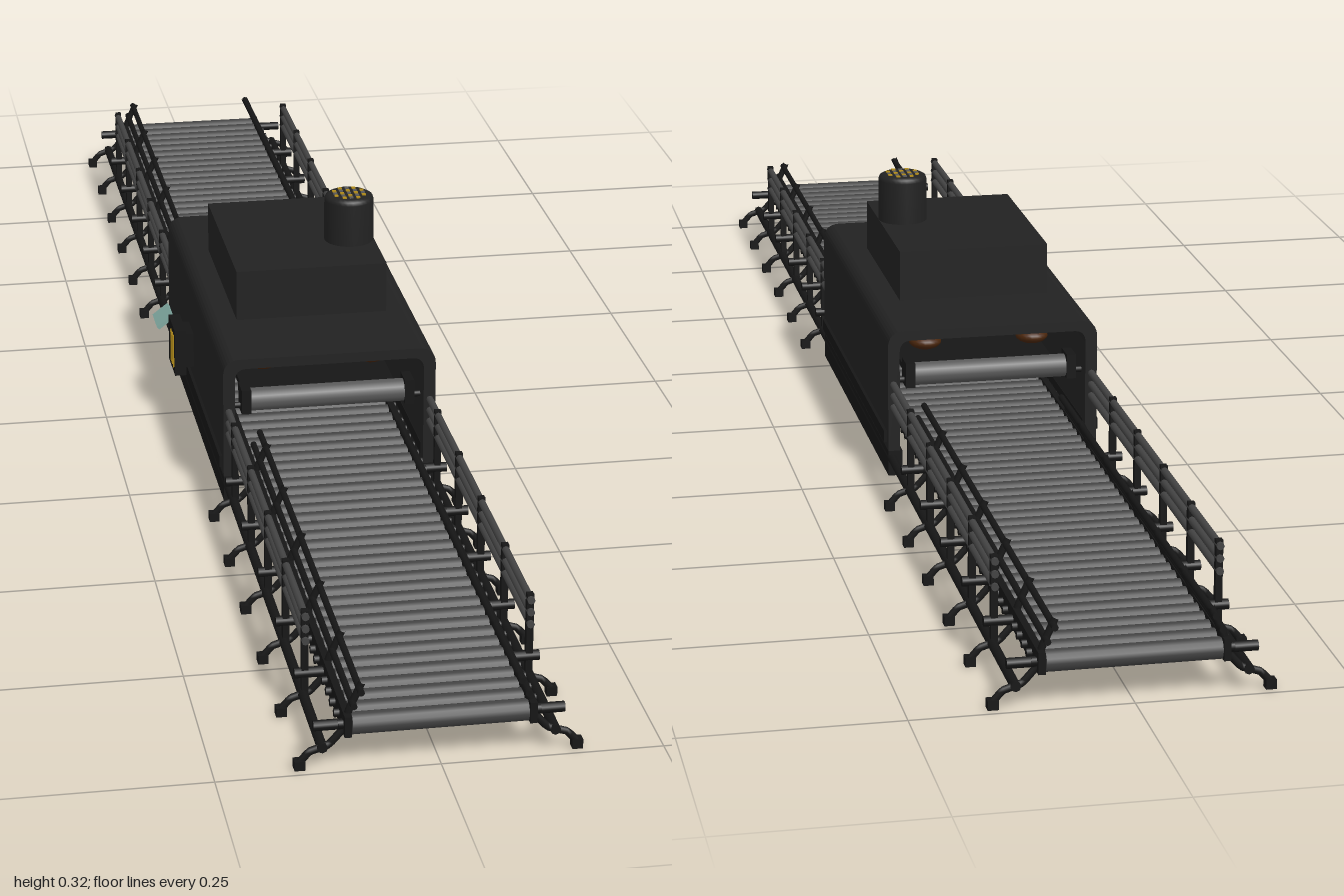
import * as THREE from 'three';

const mat = (name, color, side = THREE.FrontSide) => {
  const m = new THREE.MeshStandardMaterial({ color, side });
  m.name = name;
  return m;
};

export function createModel() {
  const model = new THREE.Group();
  model.name = 'conveyorTunnel';
  const shell = mat('housing charcoal', 0x222222);
  const black = mat('frame black', 0x161616);
  const rollerGrey = mat('roller grey', 0x444444);
  const steel = mat('steel grey', 0x5a5a5a);
  const brown = mat('pad brown', 0x4a260c);
  const yellow = mat('marking yellow', 0xb08a18);
  const teal = mat('plate teal', 0x7fa8a0);

  const group = (name) => {
    const g = new THREE.Group();
    g.name = name;
    model.add(g);
    return g;
  };
  const add = (parent, name, geo, material, x = 0, y = 0, z = 0) => {
    const m = new THREE.Mesh(geo, material);
    m.name = name;
    m.position.set(x, y, z);
    parent.add(m);
    return m;
  };
  // Box given by its limits
  const box = (parent, name, material, x0, x1, y0, y1, z0, z1) =>
    add(parent, name, new THREE.BoxGeometry(x1 - x0, y1 - y0, z1 - z0), material,
      (x0 + x1) / 2, (y0 + y1) / 2, (z0 + z1) / 2);
  // Cylinder lying along x or z
  const rodX = (parent, name, material, r, len, x, y, z, seg = 12) =>
    add(parent, name, new THREE.CylinderGeometry(r, r, len, seg).rotateZ(Math.PI / 2), material, x, y, z);
  const rodZ = (parent, name, material, r, z0, z1, x, y) =>
    add(parent, name, new THREE.CylinderGeometry(r, r, Math.abs(z1 - z0), 8).rotateX(Math.PI / 2), material, x, y, (z0 + z1) / 2);

  // Roller bed, running the whole length
  const bed = group('rollerBed');
  const count = 78;
  const rollerGeo = new THREE.CylinderGeometry(0.0125, 0.0125, 0.196, 14).rotateZ(Math.PI / 2);
  const axleGeo = new THREE.CylinderGeometry(0.005, 0.005, 0.226, 8).rotateZ(Math.PI / 2);
  for (let i = 0; i < count; i++) {
    const z = -0.987 + (i * 1.974) / (count - 1);
    add(bed, 'roller', rollerGeo, rollerGrey, 0, 0.053, z);
    add(bed, 'axle', axleGeo, black, 0, 0.053, z);
  }
  for (const s of [-1, 1]) box(bed, 'sideRail', black, s * 0.103 - 0.004, s * 0.103 + 0.004, 0.041, 0.066, -0.998, 0.998);

  // Bent legs, with low guards leaning inwards and taller outer guards
  const supports = group('supports');
  const frontZ = [0.34, 0.47, 0.6, 0.73, 0.86, 0.985];
  const backZ = [-0.345, -0.475, -0.605, -0.735, -0.86, -0.985];
  for (const s of [-1, 1]) {
    const path = new THREE.CurvePath();
    const pts = [[0.157, 0.006], [0.144, 0.021], [0.122, 0.028], [0.107, 0.045], [0.1, 0.07], [0.086, 0.101]]
      .map(([x, y]) => new THREE.Vector3(s * x, y, 0));
    for (let i = 1; i < pts.length; i++) path.add(new THREE.LineCurve3(pts[i - 1], pts[i]));
    const legGeo = new THREE.TubeGeometry(path, 24, 0.0045, 8, false);
    for (const z of [...frontZ, ...backZ]) {
      add(supports, 'leg', legGeo, black, 0, 0, z);
      box(supports, 'foot', black, s * 0.155 - 0.006, s * 0.155 + 0.006, 0.001, 0.012, z - 0.006, z + 0.006);
      rodX(supports, 'bracket', black, 0.006, 0.04, s * 0.12, 0.052, z);
      if (Math.abs(z) < 0.9)
        box(supports, 'guardPost', black, s * 0.128 - 0.004, s * 0.128 + 0.004, 0.025, 0.13, z - 0.004, z + 0.004);
    }
    rodZ(supports, 'floorTube', black, 0.006, -0.99, 0.99, s * 0.13, 0.026);
    for (const [end, start] of [[1, 0.29], [-1, -0.225]]) {
      rodZ(supports, 'lowGuard', black, 0.004, start, end * 0.998, s * 0.089, 0.094);
      rodZ(supports, 'lowGuard', black, 0.004, start, end * 0.998, s * 0.097, 0.078);
      for (const y of [0.094, 0.109, 0.124])
        rodZ(supports, 'highGuard', rollerGrey, 0.0045, start, end * 0.868, s * 0.128, y);
    }
  }

  // Tunnel housing: an arch with rounded shoulders
  const housing = group('housing');
  const z0 = -0.225, z1 = 0.29;
  const arch = new THREE.Shape();
  arch.moveTo(-0.135, 0.036);
  arch.lineTo(-0.135, 0.172);
  arch.quadraticCurveTo(-0.135, 0.194, -0.112, 0.194);
  arch.lineTo(0.112, 0.194);
  arch.quadraticCurveTo(0.135, 0.194, 0.135, 0.172);
  arch.lineTo(0.135, 0.036);
  arch.lineTo(0.12, 0.036);
  arch.lineTo(0.12, 0.165);
  arch.quadraticCurveTo(0.12, 0.181, 0.105, 0.181);
  arch.lineTo(-0.105, 0.181);
  arch.quadraticCurveTo(-0.12, 0.181, -0.12, 0.165);
  arch.lineTo(-0.12, 0.036);
  arch.closePath();
  add(housing, 'arch', new THREE.ExtrudeGeometry(arch, { depth: z1 - z0, bevelEnabled: false, curveSegments: 8 }), shell, 0, 0, z0);
  for (const s of [-1, 1]) {
    box(housing, 'baseSkirt', black, s * 0.126 - 0.009, s * 0.126 + 0.009, 0.003, 0.036, z0, z1);
    box(housing, 'skirtLedge', black, s * 0.129 - 0.01, s * 0.129 + 0.01, 0.045, 0.06, z0 + 0.01, z1 - 0.01);
  }
  box(housing, 'upperBox', shell, -0.098, 0.096, 0.193, 0.26, -0.094, 0.16);

  // Exhaust stack with a rounded top edge and a dotted grille
  const stack = group('exhaustStack');
  const profile = [[0.032, 0.258], [0.032, 0.315], [0.0305, 0.3195], [0.026, 0.322], [0, 0.322]]
    .map(([r, y]) => new THREE.Vector2(r, y));
  add(stack, 'stackBody', new THREE.LatheGeometry(profile, 28), shell, 0.064, 0, 0.064);
  const dot = new THREE.BoxGeometry(0.005, 0.002, 0.005);
  for (let i = -2; i <= 2; i++) for (let j = -2; j <= 2; j++) {
    if (Math.abs(i) + Math.abs(j) > 3) continue;
    add(stack, 'grilleDot', dot, (i + j) % 2 ? yellow : steel, 0.064 + i * 0.009, 0.3225, 0.064 + j * 0.009);
  }

  // Hold-down rollers at both mouths, hung pads inside
  const press = group('pressUnit');
  for (const z of [z1 - 0.025, z0 + 0.025]) {
    rodX(press, 'pressRoller', steel, 0.0145, 0.2, 0, 0.129, z, 20);
    rodX(press, 'pressAxle', black, 0.004, 0.25, 0, 0.122, z, 8);
    for (const s of [-1, 1]) box(press, 'pressBracket', black, s * 0.104 - 0.006, s * 0.104 + 0.006, 0.115, 0.147, z - 0.015, z + 0.015);
  }
  box(press, 'pressBeam', black, -0.098, 0.098, 0.11, 0.118, z0 + 0.04, z1 - 0.04);
  const padGeo = new THREE.SphereGeometry(0.021, 18, 10).scale(1, 0.48, 1);
  for (const s of [-1, 1]) for (const z of [0.19, 0.03, -0.13]) {
    add(press, 'pad', padGeo, brown, s * 0.07, 0.15, z);
    add(press, 'padStem', new THREE.CylinderGeometry(0.01, 0.01, 0.03, 12), black, s * 0.072, 0.17, z);
    add(press, 'padCollar', new THREE.CylinderGeometry(0.013, 0.013, 0.016, 12), black, s * 0.072, 0.175, z);
  }

  // Control panel with marked strips on the right wall
  const panel = group('controlPanel');
  box(panel, 'panelMount', black, -0.148, -0.134, 0.075, 0.122, -0.022, 0.022);
  box(panel, 'panelFace', black, -0.161, -0.146, 0.067, 0.13, -0.03, 0.03);
  for (let i = 0; i < 3; i++) {
    const z = -0.002 + i * 0.011;
    box(panel, 'panelStrip', yellow, -0.1625, -0.16, 0.076, 0.121, z - 0.002, z + 0.002);
  }

  // Tilted plate on the right wall
  const plate = box(model, 'tiltedPlate', teal, -0.162, -0.136, 0.064, 0.069, -0.205, -0.158);
  plate.rotation.z = 0.65;
  return model;
}
